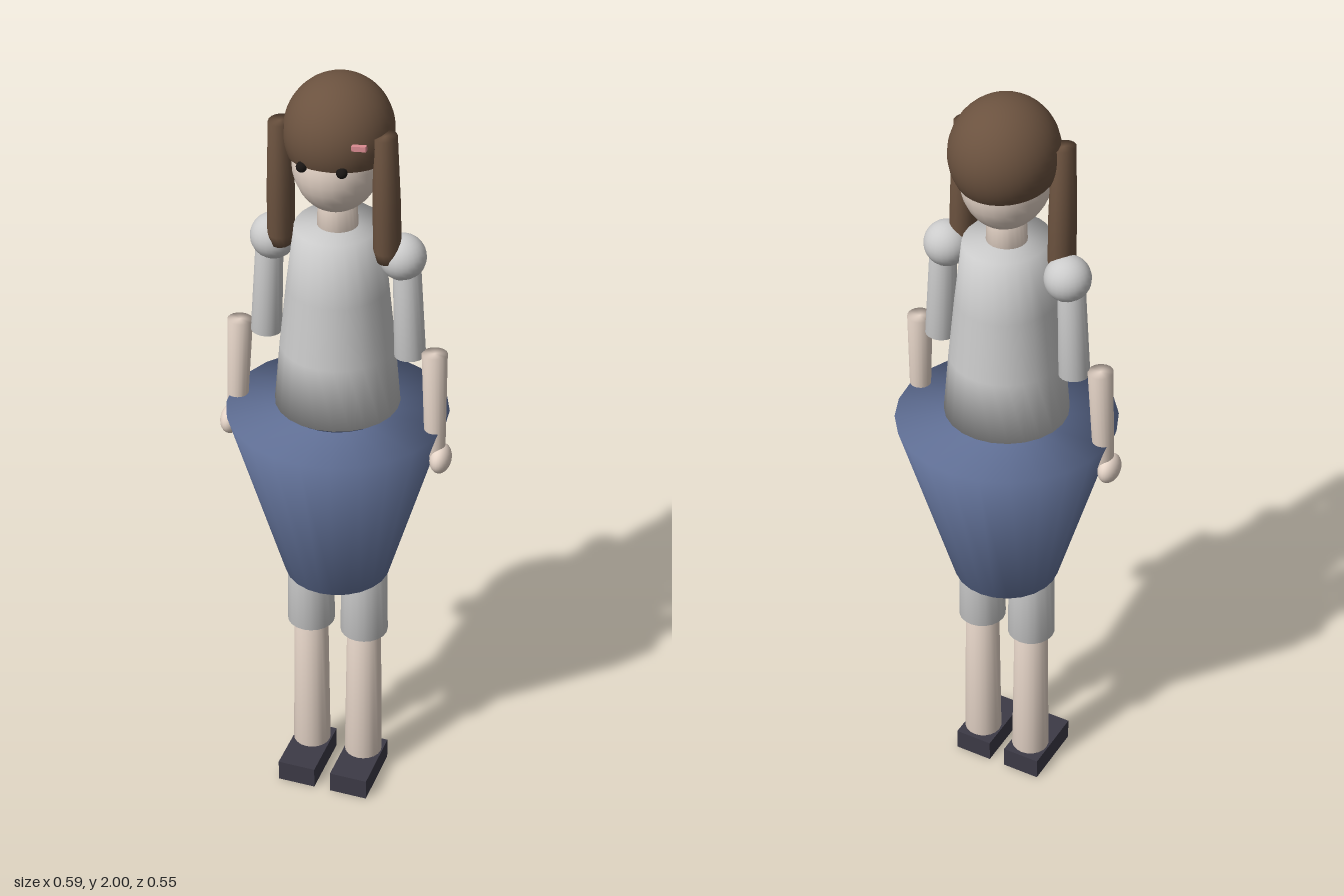
import * as THREE from 'three';

const paint = (color) => new THREE.MeshStandardMaterial({ color, side: THREE.DoubleSide });
const skin = paint(0xe6d5c8), hair = paint(0x6b523f), blue = paint(0x66769e);
const cloth = paint(0xcccccc), dark = paint(0x3c3a46), black = paint(0x1a1614), pink = paint(0xd98a90);

export function createModel() {
  const model = new THREE.Group();

  const add = (name, geometry, material, x = 0, y = 0, z = 0) => {
    const mesh = new THREE.Mesh(geometry, material);
    mesh.name = name;
    mesh.position.set(x, y, z);
    model.add(mesh);
    return mesh;
  };

  // Closed, softly shaded round form from [radius, height] pairs
  const turned = (profile, sides = 24) => {
    const pts = profile.map(([r, y]) => new THREE.Vector2(r, y));
    pts.unshift(new THREE.Vector2(0, pts[0].y));
    pts.push(new THREE.Vector2(0, pts[pts.length - 1].y));
    return new THREE.LatheGeometry(pts, sides);
  };

  // Tapered limb between two points, lower end first
  const limb = (name, material, from, to, r0, r1) => {
    const a = new THREE.Vector3(...from), b = new THREE.Vector3(...to);
    const dir = b.clone().sub(a);
    const mesh = add(name, turned([[r0, 0], [r1, dir.length()]], 20), material, ...from);
    mesh.quaternion.setFromUnitVectors(new THREE.Vector3(0, 1, 0), dir.normalize());
    return mesh;
  };

  const ball = (name, material, x, y, z, rx, ry = rx, rz = rx) => {
    const mesh = add(name, new THREE.SphereGeometry(1, 24, 16), material, x, y, z);
    mesh.scale.set(rx, ry, rz);
    return mesh;
  };

  // Head, neck and hair cap with a rim sloping down to the back
  ball('head', skin, 0, 1.8, 0, 0.105, 0.128, 0.12);
  add('neck', turned([[0.05, 1.6], [0.045, 1.72]]), skin);
  const cap = add('hairCap',
    new THREE.SphereGeometry(1, 32, 20, 0, Math.PI * 2, 0, Math.PI * 0.65), hair, 0, 1.865, -0.01);
  cap.scale.set(0.128, 0.135, 0.136);
  cap.rotation.x = -0.13;
  const clip = add('hairClip', new THREE.BoxGeometry(0.034, 0.012, 0.012), pink, 0.09, 1.89, 0.113);
  clip.rotation.z = 0.1;

  // Torso, narrower across the shoulders than it is deep
  const torso = turned([[0.153, 1.15], [0.141, 1.31], [0.129, 1.47], [0.116, 1.63]]);
  const p = torso.attributes.position;
  for (let i = 0; i < p.count; i++) {
    const t = (p.getY(i) - 1.15) / 0.48;
    p.setX(i, p.getX(i) * (1 - 0.13 * t * t));
  }
  torso.computeBoundingSphere();
  add('torso', torso, cloth);

  // Waist and skirt, widest at the top
  add('waist', turned([[0.133, 1.135], [0.133, 1.2]]), blue);
  add('skirt', turned([[0.133, 0.65], [0.273, 1.125]]), blue);

  // Paired parts
  for (const [side, s] of [['left', 1], ['right', -1]]) {
    ball(side + 'Eye', black, s * 0.048, 1.82, 0.11, 0.013);

    const tail = add(side + 'Ponytail',
      turned([[0.025, 0], [0.032, 0.03], [0.032, 0.14], [0.027, 0.32]], 16), hair, s * 0.131, 1.57, 0.025);
    tail.scale.z = 1.2;
    tail.rotation.set(0.035, 0, s * 0.015);

    // Arm
    ball(side + 'Shoulder', cloth, s * 0.16, 1.57, 0, 0.056);
    limb(side + 'UpperArm', cloth, [s * 0.182, 1.31, 0], [s * 0.168, 1.6, 0], 0.038, 0.032);
    limb(side + 'Forearm', skin, [s * 0.256, 1.06, 0.02], [s * 0.246, 1.33, 0.01], 0.025, 0.031);
    ball(side + 'Hand', skin, s * 0.271, 1.047, 0.022, 0.026, 0.037, 0.04);

    // Leg
    add(side + 'ShortsLeg', turned([[0.061, 0.465], [0.057, 0.75]], 20), cloth, s * 0.072);
    add(side + 'Shin', turned([[0.049, 0.065], [0.044, 0.45]], 20), skin, s * 0.072);
    add(side + 'Shoe', new THREE.BoxGeometry(0.1, 0.058, 0.18), dark, s * 0.072, 0.029, 0.035);
  }
  return model;
}
